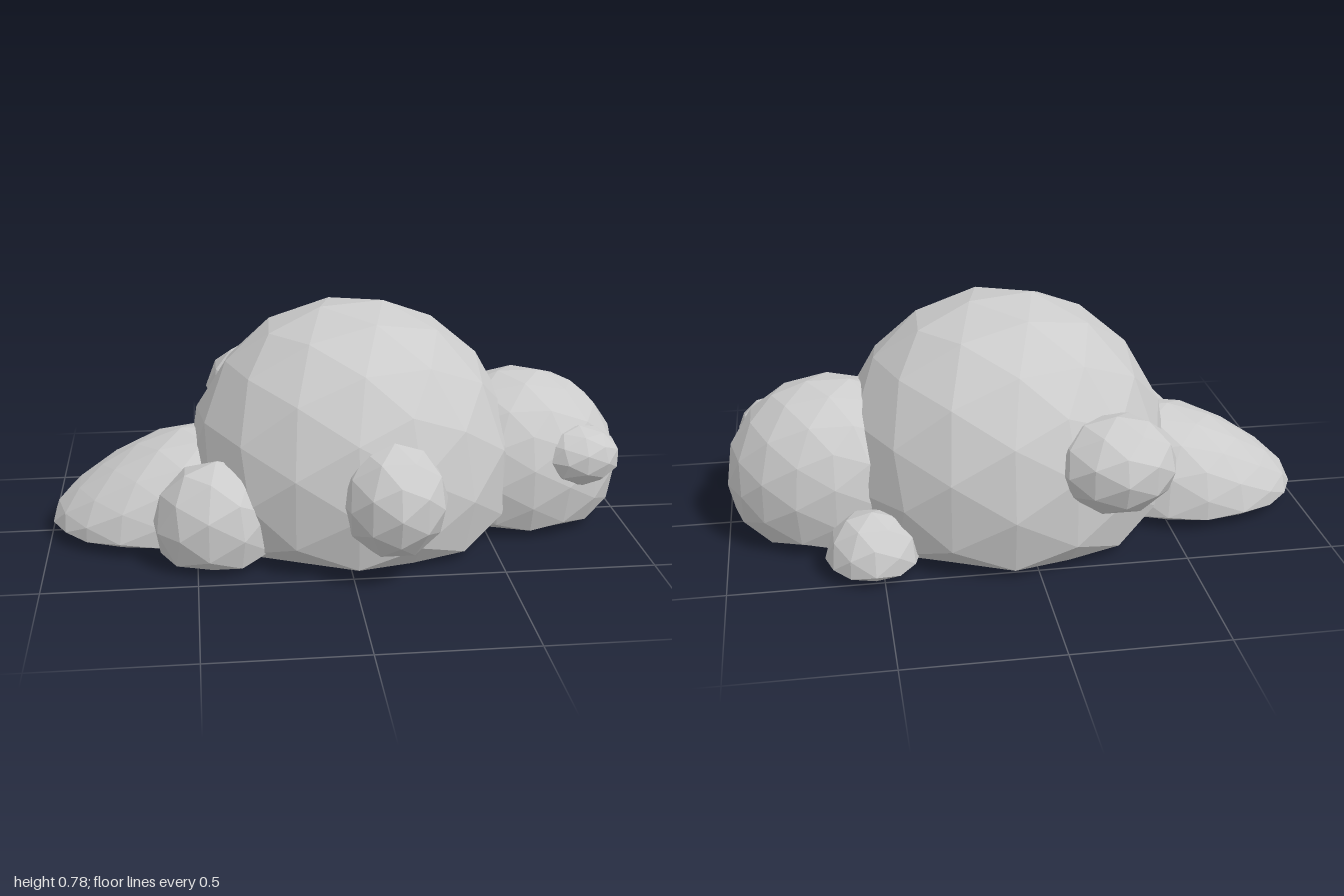
import * as THREE from 'three';

const material = new THREE.MeshStandardMaterial({ color: 0xcccccc, flatShading: true });

// A faceted puff: a turned ellipsoid whose underside is pressed into a shallow, nearly flat base.
// slope makes it taller towards +x and lower towards -x.
function puff(name, center, radii, detail, turn, slope = 0) {
  const geometry = new THREE.IcosahedronGeometry(1, detail);
  geometry.rotateY(turn);
  const position = geometry.attributes.position;
  const [cx, cy, cz] = center;
  const [rx, ry, rz] = radii;
  for (let i = 0; i < position.count; i++) {
    let x = position.getX(i);
    let y = cy + position.getY(i) * ry * (1 + slope * x);
    let z = position.getZ(i);
    const rho = Math.hypot(x, z);
    const floor = 0.04 * Math.min(1, rho * rho);
    if (y < floor) {
      // widen the pressed ring so the base keeps the outline of the puff
      const widen = rho > 0.01 ? Math.pow(rho, -0.2) : 1;
      x *= widen;
      z *= widen;
      y = floor;
    }
    position.setXYZ(i, cx + x * rx, y, cz + z * rz);
  }
  geometry.computeVertexNormals();
  const mesh = new THREE.Mesh(geometry, material);
  mesh.name = name;
  return mesh;
}

export function createModel() {
  const cloud = new THREE.Group();
  cloud.name = 'cloud';

  // Three large puffs in a row
  cloud.add(
    puff('mainPuff', [0.05, 0.22, -0.02], [0.575, 0.575, 0.57], 2, 0.3),
    puff('leftPuff', [0.64, 0.19, -0.03], [0.36, 0.34, 0.315], 2, 0),
    puff('rightPuff', [-0.62, 0.05, -0.02], [0.38, 0.285, 0.305], 2, 0, 0.48),
  );

  // Small puffs around the sides
  cloud.add(
    puff('frontRightPuff', [-0.43, 0.13, 0.29], [0.215, 0.215, 0.19], 1, 0.4),
    puff('frontPuff', [0.13, 0.265, 0.48], [0.175, 0.19, 0.195], 1, 0),
    puff('frontLeftPuff', [0.81, 0.28, 0.185], [0.145, 0.105, 0.12], 1, 0.6),
    puff('backRightPuff', [-0.25, 0.36, -0.48], [0.2, 0.16, 0.195], 1, 0),
    puff('backLeftPuff', [0.53, 0.05, -0.4], [0.155, 0.155, 0.155], 1, 0),
  );
  return cloud;
}
